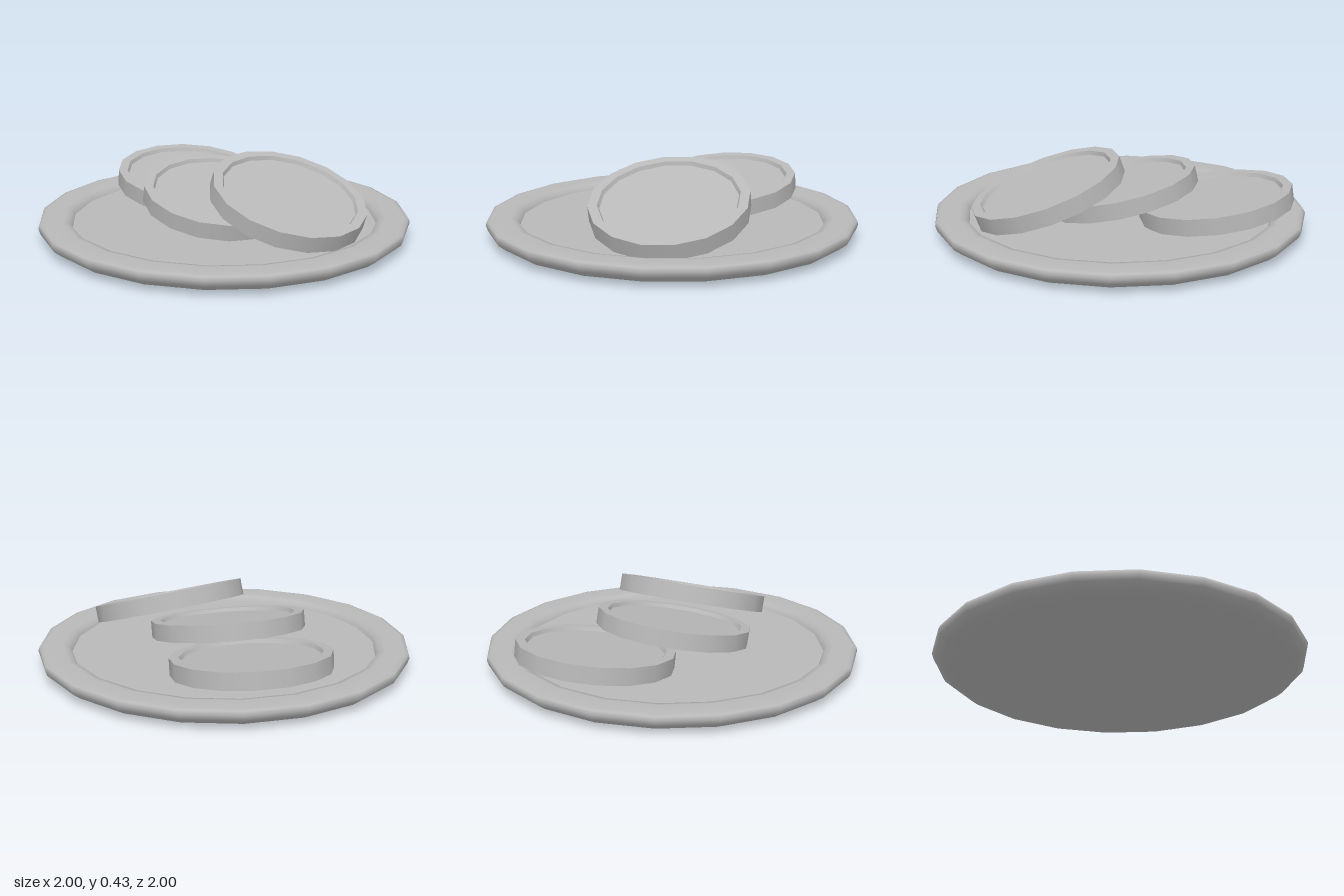
import * as THREE from 'three';

const stone = new THREE.MeshStandardMaterial({ color: 0xb8b8b8 });
stone.name = 'pale grey';

// One lathe per smooth band, so the joins between bands stay sharp
function turned(name, bands, sides) {
  const group = new THREE.Group();
  group.name = name;
  for (const [part, points] of Object.entries(bands)) {
    const profile = points.map(([r, y]) => new THREE.Vector2(r, y));
    const mesh = new THREE.Mesh(new THREE.LatheGeometry(profile, sides), stone);
    mesh.name = part;
    group.add(mesh);
  }
  return group;
}

// Round plate with a soft rim and a shallow well
function makePlate() {
  const floor = 0.075;
  return turned('plate', {
    plateBase: [[0, 0], [0.8, 0]],
    plateRim: [
      [0.8, 0], [0.88, 0.007], [0.95, 0.025], [0.99, 0.055], [1, 0.085],
      [0.993, 0.105], [0.97, 0.112], [0.87, 0.112], [0.835, 0.105], [0.82, floor],
    ],
    plateWell: [[0.82, floor], [0, floor]],
  }, 20);
}

// Thick disc with a raised border; its origin is the centre of the top
function makeDisc(name) {
  const R = 0.414, inner = 0.365, inset = 0.355, depth = -0.02, thick = -0.09;
  return turned(name, {
    discBottom: [[0, thick], [R, thick]],
    discSide: [[R, thick], [R, 0]],
    discBorder: [[R, 0], [inner, 0]],
    discInnerWall: [[inner, 0], [inset, depth]],
    discFace: [[inset, depth], [0, depth]],
  }, 16);
}

export function createModel() {
  const model = new THREE.Group();
  model.name = 'plateOfDiscs';
  model.add(makePlate());

  // Three discs leaning on each other: centre, then tilt, spin and roll in degrees
  const discs = [
    ['frontDisc', [0.045, 0.295, 0.42], [19.1, 11, 2]],
    ['middleDisc', [-0.02, 0.25, -0.005], [11.6, 5, 4.5]],
    ['backDisc', [0.228, 0.213, -0.46], [7.8, 5, 3]],
  ];
  for (const [name, position, angles] of discs) {
    const disc = makeDisc(name);
    disc.position.set(...position);
    disc.rotation.set(...angles.map(THREE.MathUtils.degToRad), 'XZY');
    model.add(disc);
  }
  return model;
}
